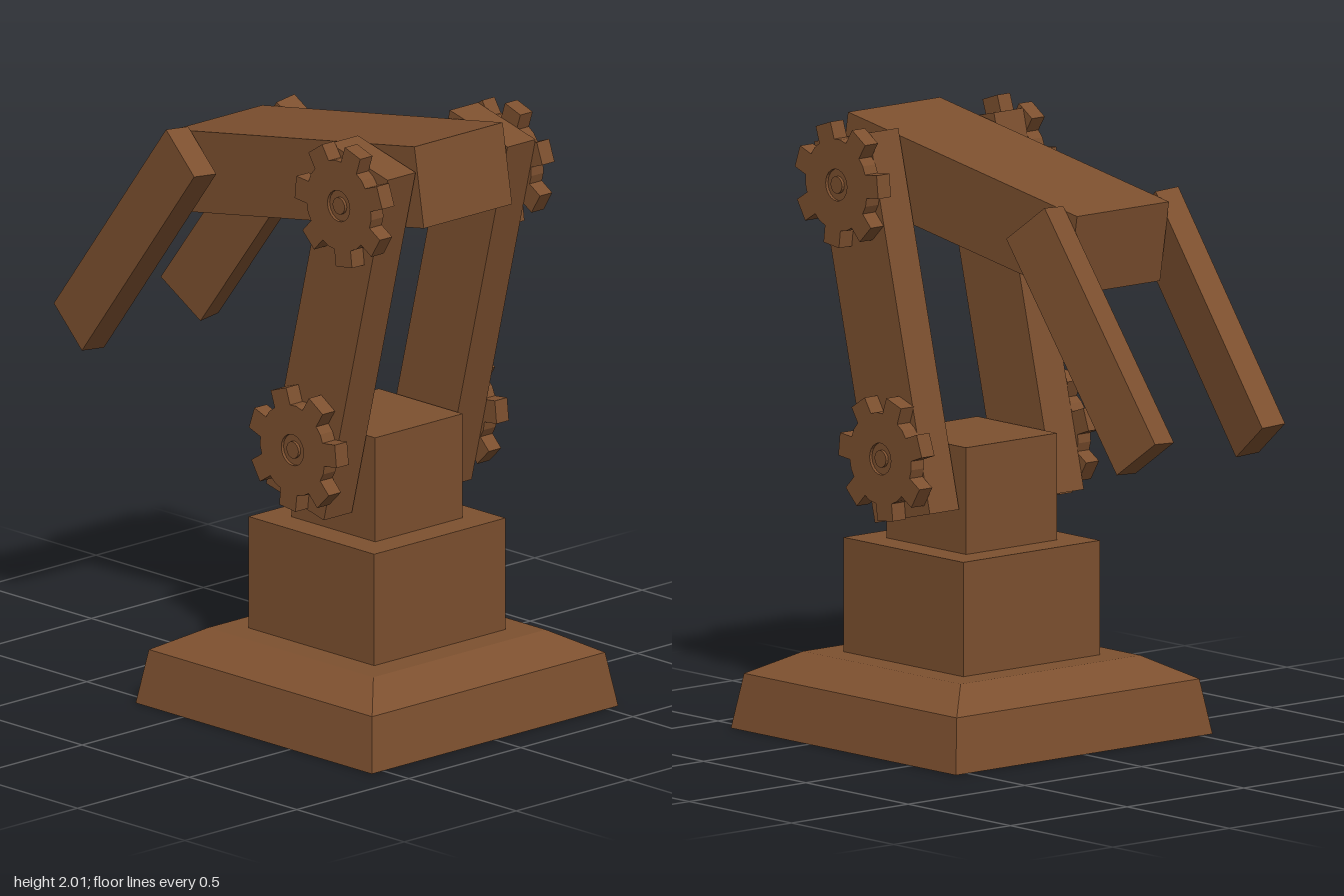
import * as THREE from 'three';

export function createModel() {
  const model = new THREE.Group();
  const brown = new THREE.MeshStandardMaterial({ color: 0x7d502f, flatShading: true });
  brown.name = 'brown';

  const add = (name, geometry, x, y, z, angle = 0) => {
    const mesh = new THREE.Mesh(geometry, brown);
    mesh.name = name;
    mesh.position.set(x, y, z);
    mesh.rotation.z = angle;
    model.add(mesh);
    return mesh;
  };
  const box = (w, h, d) => new THREE.BoxGeometry(w, h, d);

  // Square tapered slab given its half widths
  const frustum = (bottom, top, h) =>
    new THREE.CylinderGeometry(top * Math.SQRT2, bottom * Math.SQRT2, h, 4).rotateY(Math.PI / 4);

  // Toothed wheel with a central hole, starting at z = 0
  const gearGeometry = (firstTooth) => {
    const teeth = 7, root = 0.145, tip = 0.202, half = 0.038;
    const shape = new THREE.Shape();
    for (let i = 0; i < teeth; i++) {
      const a = firstTooth + (i / teeth) * Math.PI * 2;
      const c = Math.cos(a), s = Math.sin(a);
      const corners = [[root, -half], [tip, -half], [tip, half], [root, half]];
      corners.forEach(([r, t], k) => {
        const x = r * c - t * s, y = r * s + t * c;
        if (i === 0 && k === 0) shape.moveTo(x, y);
        else shape.lineTo(x, y);
      });
      const mid = a + Math.PI / teeth;
      shape.lineTo(Math.cos(mid) * 0.152, Math.sin(mid) * 0.152);
    }
    shape.closePath();
    shape.holes.push(new THREE.Path().absarc(0, 0, 0.052, 0, Math.PI * 2, true));
    return new THREE.ExtrudeGeometry(shape, { depth: 0.055, bevelEnabled: false, curveSegments: 12 });
  };

  // Stepped pedestal
  const cx = 0.33;
  add('baseSkirt', frustum(0.55, 0.52, 0.18), cx, 0.09, 0);
  add('baseSlope', frustum(0.52, 0.385, 0.075), cx, 0.2175, 0);
  add('pedestal', box(0.586, 0.375, 0.586), cx, 0.4425, 0);
  add('post', box(0.39, 0.35, 0.39), cx, 0.805, 0);

  // Broad upper beam
  add('upperBeam', box(1.135, 0.269, 0.394), 0.172, 1.775, 0, 0.164);

  const gears = [
    { name: 'lowerGear', x: 0.338, y: 0.938, tooth: 57.5 },
    { name: 'upperGear', x: 0.553, y: 1.806, tooth: -83 },
  ];

  for (const side of [1, -1]) {
    const label = side > 0 ? 'Front' : 'Back';

    // Leaning strut
    add('strut' + label, box(0.277, 1.245, 0.125), 0.441, 1.347, side * 0.2675, -0.241);

    // Gears with a slightly sunken hub and pin
    for (const g of gears) {
      const z = side > 0 ? 0.33 : -0.385;
      add(g.name + label, gearGeometry(THREE.MathUtils.degToRad(g.tooth)), g.x, g.y, z);
      const hub = (r, d) => new THREE.CylinderGeometry(r, r, d, 16).rotateX(Math.PI / 2);
      add(g.name + 'Hub' + label, hub(0.052, 0.045), g.x, g.y, side * 0.3525);
      add(g.name + 'Pin' + label, hub(0.028, 0.055), g.x, g.y, side * 0.3575);
    }

    // Hanging finger, slightly twisted outward
    const along = new THREE.Vector3(-0.53, -0.70, -0.008 * side).normalize();
    const across = new THREE.Vector3(0.16, -0.12, 0.026 * side).normalize();
    const thick = new THREE.Vector3().crossVectors(across, along).normalize();
    across.crossVectors(along, thick);
    const finger = add('finger' + label, box(0.2, 0.88, 0.09), -0.535, 1.432, side * 0.251);
    finger.quaternion.setFromRotationMatrix(new THREE.Matrix4().makeBasis(across, along, thick));
  }

  return model;
}
